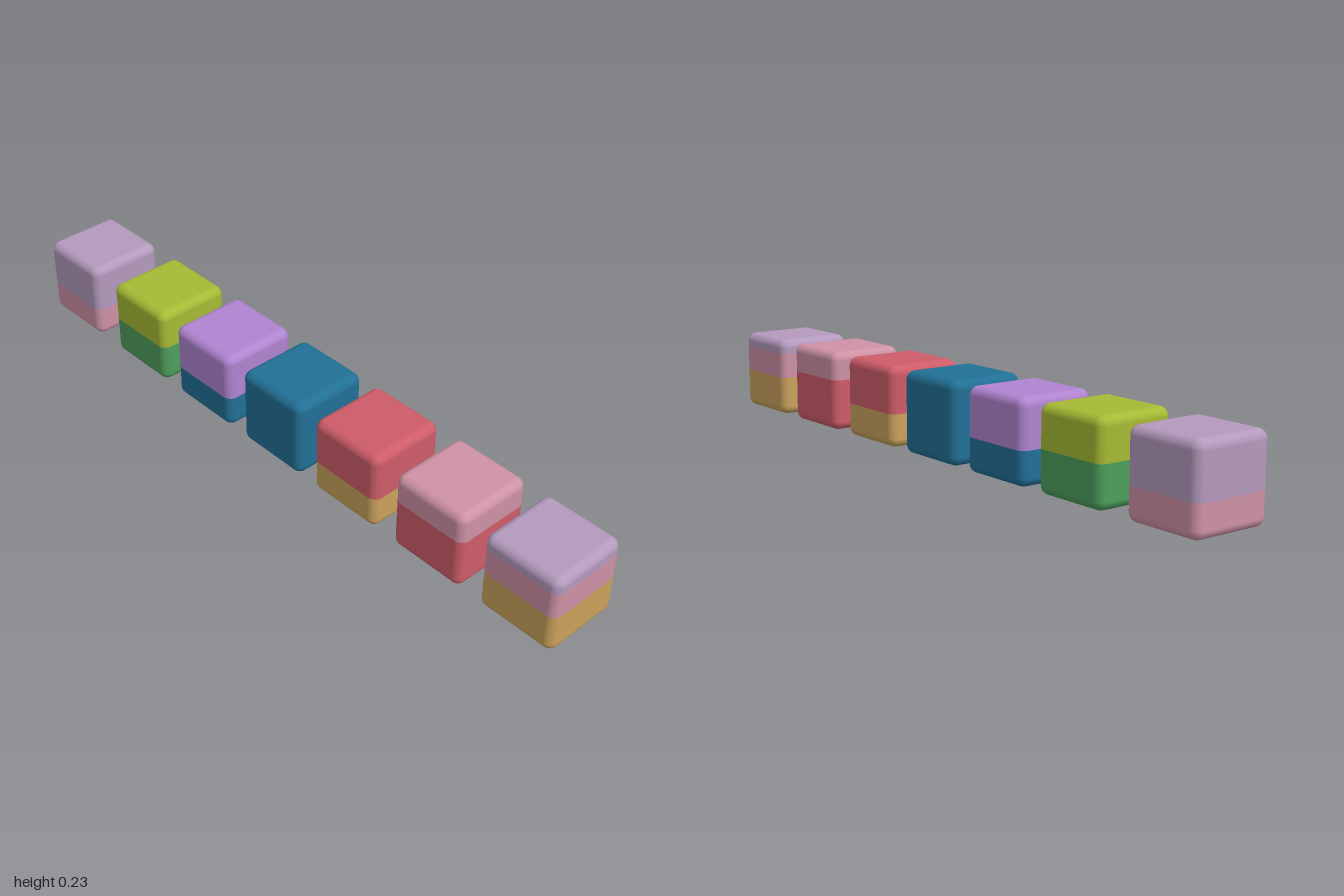
import * as THREE from 'three';

const SIZE = 0.232, HALF = SIZE / 2, R = 0.025, STEPS = 6;
const CORE = HALF - R;

const makeMaterial = (name, color) => {
  const m = new THREE.MeshStandardMaterial({ color });
  m.name = name;
  return m;
};

// Heights of the rings of a rounded cube between y0 and y1, with the tilt of the surface there
function ringsBetween(y0, y1) {
  const rings = [];
  if (y0 <= 0) {
    for (let i = 0; i <= STEPS; i++) {
      const a = (i / STEPS - 1) * Math.PI / 2;
      rings.push({ y: R + R * Math.sin(a), a });
    }
  } else rings.push({ y: y0, a: 0 });
  if (y1 >= SIZE) {
    for (let i = 0; i <= STEPS; i++) {
      const a = (i / STEPS) * Math.PI / 2;
      rings.push({ y: SIZE - R + R * Math.sin(a), a });
    }
  } else rings.push({ y: y1, a: 0 });
  return rings;
}

// One colour layer of a rounded cube, closed only where it meets the cube's top or bottom
function bandGeometry(y0, y1) {
  const rings = ringsBetween(y0, y1);
  const pos = [], nor = [], idx = [];
  const n = 4 * (STEPS + 1);
  for (const { y, a } of rings) {
    for (let q = 0; q < 4; q++) {
      const mid = (q + 0.5) * Math.PI / 2;
      const cx = Math.sign(Math.cos(mid)) * CORE, cz = Math.sign(Math.sin(mid)) * CORE;
      for (let i = 0; i <= STEPS; i++) {
        const t = (q + i / STEPS) * Math.PI / 2;
        const nx = Math.cos(a) * Math.cos(t), nz = Math.cos(a) * Math.sin(t);
        pos.push(cx + R * nx, y, cz + R * nz);
        nor.push(nx, Math.sin(a), nz);
      }
    }
  }
  for (let k = 0; k < rings.length - 1; k++) {
    for (let i = 0; i < n; i++) {
      const a = k * n + i, b = k * n + (i + 1) % n;
      idx.push(a, a + n, b, b, a + n, b + n);
    }
  }
  // flat faces
  const cap = (start, y, up) => {
    const c = pos.length / 3;
    pos.push(0, y, 0);
    nor.push(0, up ? 1 : -1, 0);
    for (let i = 0; i < n; i++) {
      const a = start + i, b = start + (i + 1) % n;
      if (up) idx.push(c, b, a);
      else idx.push(c, a, b);
    }
  };
  if (y0 <= 0) cap(0, 0, false);
  if (y1 >= SIZE) cap((rings.length - 1) * n, SIZE, true);

  const g = new THREE.BufferGeometry();
  g.setAttribute('position', new THREE.Float32BufferAttribute(pos, 3));
  g.setAttribute('normal', new THREE.Float32BufferAttribute(nor, 3));
  g.setIndex(idx);
  return g;
}

export function createModel() {
  const mauve = makeMaterial('mauve', 0xb49abd);
  const lime = makeMaterial('lime', 0xa5ba34);
  const green = makeMaterial('green', 0x4d9e5c);
  const purple = makeMaterial('purple', 0xb084d0);
  const blue = makeMaterial('blue', 0x217096);
  const red = makeMaterial('red', 0xce5c69);
  const tan = makeMaterial('tan', 0xcaa25c);
  const pink = makeMaterial('pink', 0xce92a5);

  // centre x, colours from bottom to top, heights where the colour changes
  const cubes = [
    [-0.884, [pink, mauve], [0.09]],
    [-0.568, [green, lime], [0.118]],
    [-0.279, [blue, purple], [0.097]],
    [0.007, [blue], []],
    [0.293, [tan, red], [0.097]],
    [0.589, [red, pink], [0.15]],
    [0.884, [tan, pink, mauve], [0.115, 0.19]],
  ];

  const model = new THREE.Group();
  model.name = 'cubeRow';
  cubes.forEach(([x, colours, splits], i) => {
    const cube = new THREE.Group();
    cube.name = `cube${i + 1}`;
    cube.position.x = x;
    const levels = [0, ...splits, SIZE];
    colours.forEach((material, j) => {
      const band = new THREE.Mesh(bandGeometry(levels[j], levels[j + 1]), material);
      band.name = `${material.name}Layer`;
      cube.add(band);
    });
    model.add(cube);
  });
  return model;
}
